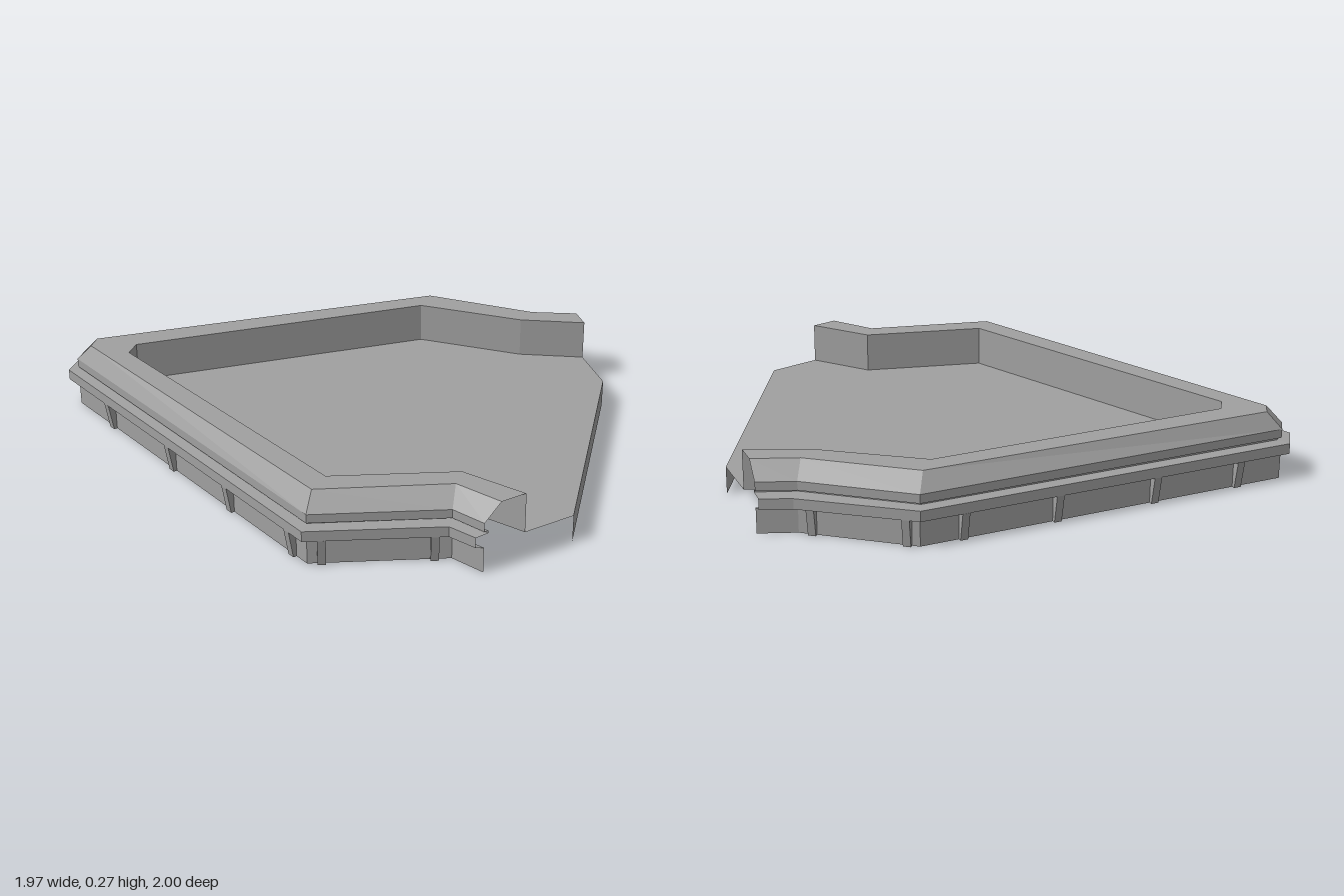
import * as THREE from 'three';

const material = new THREE.MeshStandardMaterial({ color: 0xa0a0a0, flatShading: true, side: THREE.DoubleSide });

// Plan outlines of the wall as [x, z], from the front end round the back to the side end
const rim = [[-0.27, 1], [-0.31, 0.89], [-0.77, 0.65], [-0.988, -0.925], [-0.905, -1], [0.59, -0.63], [0.885, -0.265], [0.985, -0.19]];
const face = [[-0.235, 1], [-0.28, 0.865], [-0.738, 0.628], [-0.952, -0.91], [-0.9, -0.96], [0.57, -0.6], [0.848, -0.237], [0.973, -0.15]];
const crest = [[-0.165, 1], [-0.235, 0.815], [-0.69, 0.585], [-0.907, -0.865], [-0.86, -0.912], [0.525, -0.558], [0.804, -0.197], [0.955, -0.09]];
const inner = [[-0.06, 1], [-0.17, 0.755], [-0.603, 0.53], [-0.8, -0.73], [-0.745, -0.78], [0.44, -0.495], [0.72, -0.16], [0.93, 0]];
const groove = face.map(([x, z], i) => [x + (crest[i][0] - x) * 0.25, z + (crest[i][1] - z) * 0.25]);

const FLOOR_Y = 0.11;

function addMesh(group, geometry, name) {
  const mesh = new THREE.Mesh(geometry, material);
  mesh.name = name;
  group.add(mesh);
  return mesh;
}

// Open surface through a stack of [outline, height] levels
function loft(levels) {
  const positions = [];
  const at = ([outline, y], i) => [outline[i][0], y, outline[i][1]];
  for (let k = 0; k < levels.length - 1; k++) {
    for (let i = 0; i < levels[k][0].length - 1; i++) {
      const a = at(levels[k], i), b = at(levels[k], i + 1);
      const c = at(levels[k + 1], i + 1), d = at(levels[k + 1], i);
      positions.push(...a, ...c, ...b, ...a, ...d, ...c);
    }
  }
  const geometry = new THREE.BufferGeometry();
  geometry.setAttribute('position', new THREE.Float32BufferAttribute(positions, 3));
  geometry.computeVertexNormals();
  return geometry;
}

// Bracket under the rim, deeper at the top, extruded along the wall
function bracketGeometry() {
  const width = 0.03;
  const side = new THREE.Shape([[-0.002, 0], [0.014, 0], [0.033, 0.112], [-0.002, 0.104]].map(p => new THREE.Vector2(...p)));
  return new THREE.ExtrudeGeometry(side, { depth: width, bevelEnabled: false }).translate(0, 0, -width / 2);
}

export function createModel() {
  const group = new THREE.Group();
  group.name = 'walledPlatform';

  // Hollow wall shell
  addMesh(group, loft([[face, 0], [face, 0.103]]), 'skirt');
  addMesh(group, loft([[face, 0.103], [rim, 0.113], [rim, 0.155], [groove, 0.158], [groove, 0.168], [face, 0.168]]), 'rim');
  addMesh(group, loft([[face, 0.168], [face, 0.203], [crest, 0.27], [inner, 0.27]]), 'parapet');
  addMesh(group, loft([[inner, 0.27], [inner, FLOOR_Y]]), 'innerWall');

  // Floor, reaching past the wall to the open front edge
  const edge = [[0.872, 0.22], [0.152, 1]];
  const outline = new THREE.Shape([...inner, ...edge].map(([x, z]) => new THREE.Vector2(x, -z)));
  addMesh(group, new THREE.ShapeGeometry(outline).rotateX(-Math.PI / 2).translate(0, FLOOR_Y, 0), 'floor');

  // Skirt below the open front edge
  addMesh(group, loft([[edge, 0], [edge, FLOOR_Y]]), 'frontSkirt');

  // Brackets along each long wall: segment index, then places along it
  const brackets = new THREE.Group();
  brackets.name = 'brackets';
  const geometry = bracketGeometry();
  const rows = [[1, [0.12, 0.9]], [2, [0.05, 0.3, 0.55, 0.83]], [4, [0.13, 0.37, 0.64, 0.89]], [5, [0.1, 0.88]]];
  for (const [i, places] of rows) {
    const [ax, az] = face[i], [bx, bz] = face[i + 1];
    const dx = bx - ax, dz = bz - az;
    for (const t of places) {
      const bracket = addMesh(brackets, geometry, 'bracket');
      bracket.position.set(ax + dx * t, 0, az + dz * t);
      bracket.rotation.y = Math.atan2(dx, dz); // local +x points outward
    }
  }
  group.add(brackets);
  return group;
}
